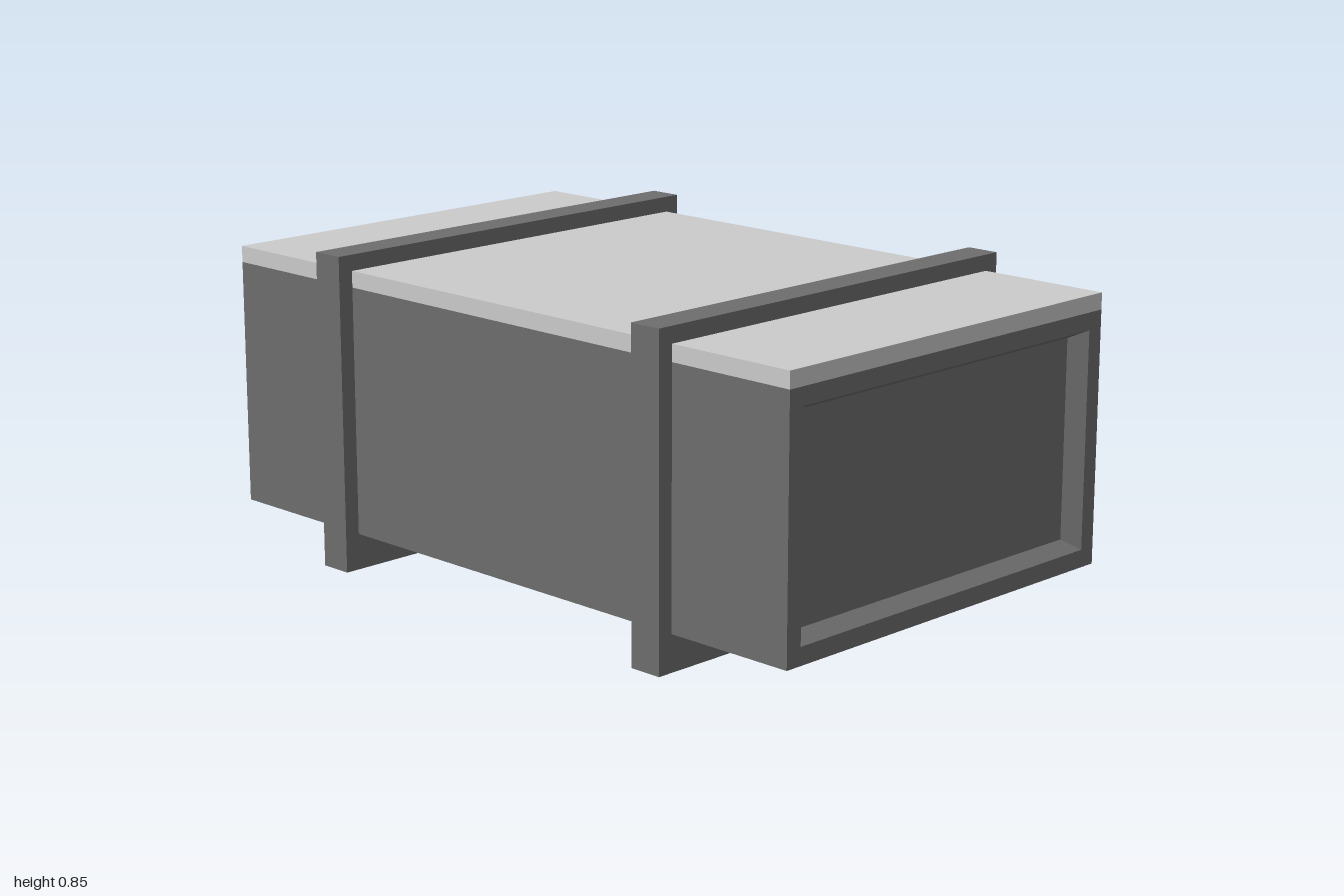
import * as THREE from 'three';

const dark = new THREE.MeshStandardMaterial({ color: 0x6e6e6e, flatShading: true });
const light = new THREE.MeshStandardMaterial({ color: 0xcccccc, flatShading: true });

function addMesh(parent, name, geometry, material, x = 0, y = 0, z = 0) {
  const mesh = new THREE.Mesh(geometry, material);
  mesh.name = name;
  mesh.position.set(x, y, z);
  parent.add(mesh);
  return mesh;
}

// Skins rectangular cross-sections [x, halfDepth, bottom, top] along x and caps both ends.
function skinRectangles(sections) {
  const loops = sections.map(([x, h, y0, y1]) => [[x, y0, h], [x, y0, -h], [x, y1, -h], [x, y1, h]]);
  const positions = [];
  const quad = (a, b, c, d) => positions.push(...a, ...b, ...c, ...a, ...c, ...d);
  for (let i = 0; i < loops.length - 1; i++) {
    for (let j = 0; j < 4; j++) {
      const k = (j + 1) % 4;
      quad(loops[i][j], loops[i][k], loops[i + 1][k], loops[i + 1][j]);
    }
  }
  quad(...[...loops[0]].reverse());
  quad(...loops[loops.length - 1]);
  const geometry = new THREE.BufferGeometry();
  geometry.setAttribute('position', new THREE.Float32BufferAttribute(positions, 3));
  geometry.computeVertexNormals();
  return geometry;
}

// Rectangular band in the yz plane, centred on x = 0.
function bandGeometry(width) {
  const rectangle = (Path, h, y0, y1) => new Path([
    new THREE.Vector2(-h, y0), new THREE.Vector2(h, y0),
    new THREE.Vector2(h, y1), new THREE.Vector2(-h, y1),
  ]);
  const outline = rectangle(THREE.Shape, 0.623, 0, 0.853);
  outline.holes.push(rectangle(THREE.Path, 0.57, 0.11, 0.8));
  const geometry = new THREE.ExtrudeGeometry(outline, { depth: width, bevelEnabled: false });
  return geometry.translate(0, 0, -width / 2).rotateY(Math.PI / 2);
}

export function createModel() {
  const crate = new THREE.Group();
  crate.name = 'crate';

  // Body with a bevelled recess in each end
  const panel = [0.51, 0.167, 0.696];
  const opening = [0.533, 0.145, 0.72];
  const outer = [0.58, 0.098, 0.766];
  addMesh(crate, 'body', skinRectangles([
    [-0.95, ...panel], [-1, ...opening], [-1, ...outer],
    [1, ...outer], [1, ...opening], [0.95, ...panel],
  ]), dark);

  // Thin lid
  addMesh(crate, 'lid', new THREE.BoxGeometry(2, 0.044, 1.16), light, 0, 0.788, 0);

  // Bands that wrap the crate and serve as its feet
  for (const side of [-1, 1]) {
    addMesh(crate, side < 0 ? 'rightBand' : 'leftBand', bandGeometry(0.092), dark, side * 0.582);
  }

  return crate;
}
